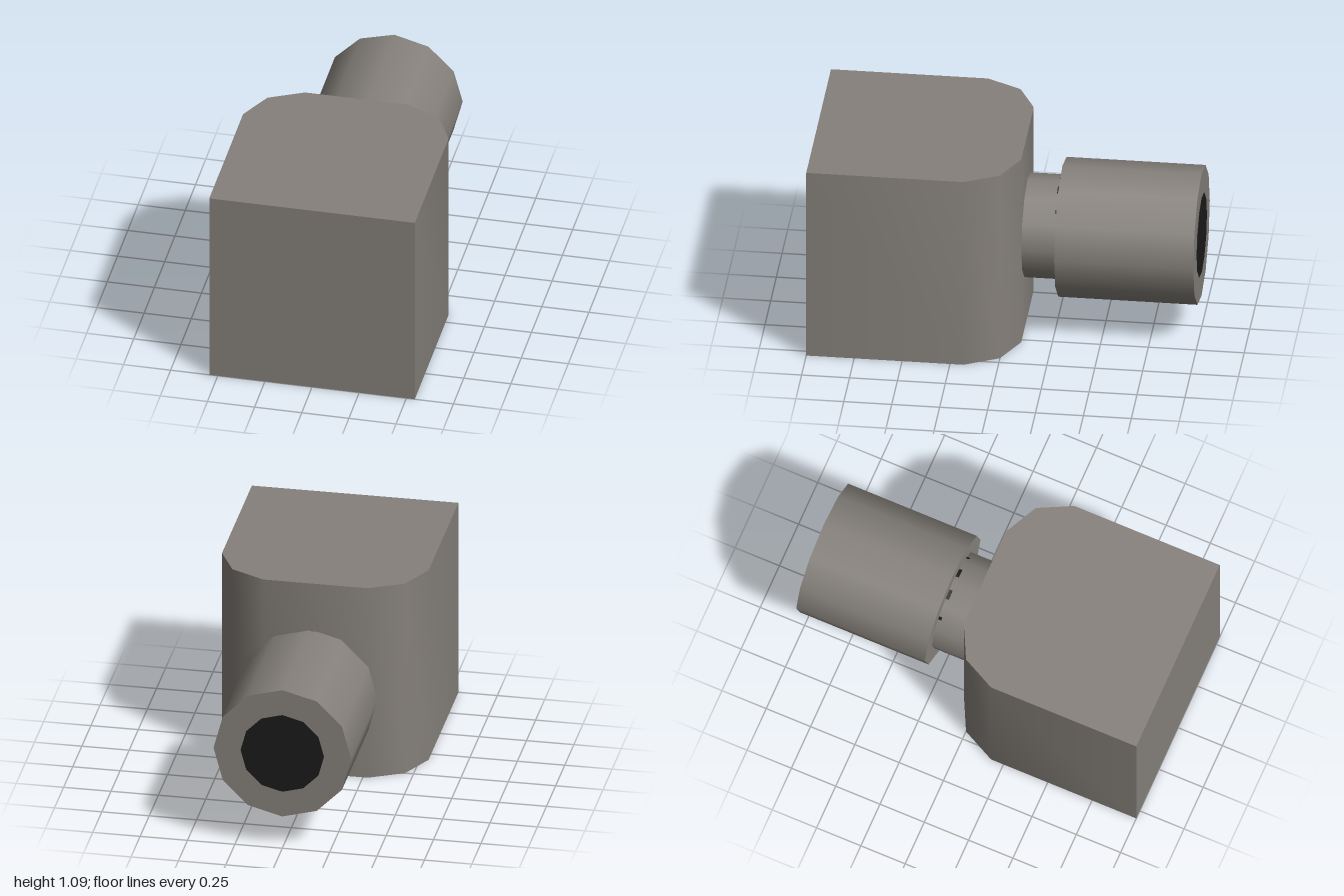
import * as THREE from 'three';
import { toCreasedNormals } from 'three/addons/utils/BufferGeometryUtils.js';

const CENTRE_Y = 0.545;

export function createModel() {
  const group = new THREE.Group();
  const metal = new THREE.MeshStandardMaterial({ name: 'warm grey metal', color: 0x85807a });
  const black = new THREE.MeshStandardMaterial({ name: 'black', color: 0x1b1b1b });

  const add = (name, geometry, material) => {
    const mesh = new THREE.Mesh(geometry, material);
    mesh.name = name;
    group.add(mesh);
    return mesh;
  };

  // Twelve-sided cylinder lying along z
  const tube = (name, radius, zFront, zBack, material, turn = 0) => {
    const geometry = new THREE.CylinderGeometry(radius, radius, zFront - zBack, 12);
    geometry.rotateY(turn).rotateX(Math.PI / 2);
    const mesh = add(name, geometry, material);
    mesh.position.set(0, CENTRE_Y, (zFront + zBack) / 2);
    return mesh;
  };

  // Block with a rounded back, extruded upwards from its plan
  const side = [[0.545, 1], [0.545, 0.18], [0.455, 0], [0.275, -0.09]];
  const outline = [...side, ...side.map(([x, z]) => [-x, z]).reverse()];
  const plan = new THREE.Shape(outline.map(([x, z]) => new THREE.Vector2(x, -z)));
  const block = new THREE.ExtrudeGeometry(plan, { depth: 1.09, bevelEnabled: false });
  block.rotateX(-Math.PI / 2);
  add('block', toCreasedNormals(block, 0.8), metal);

  // Neck, dark seam and barrel
  tube('neck', 0.272, -0.08, -0.28, metal);
  tube('seam', 0.268, -0.255, -0.272, black, Math.PI / 12).scale.set(0.97, 1.01, 1);
  tube('barrel', 0.363, -0.272, -0.998, metal);

  // Dark bore opening at the end of the barrel
  tube('bore', 0.22, -0.994, -1, black);

  return group;
}
